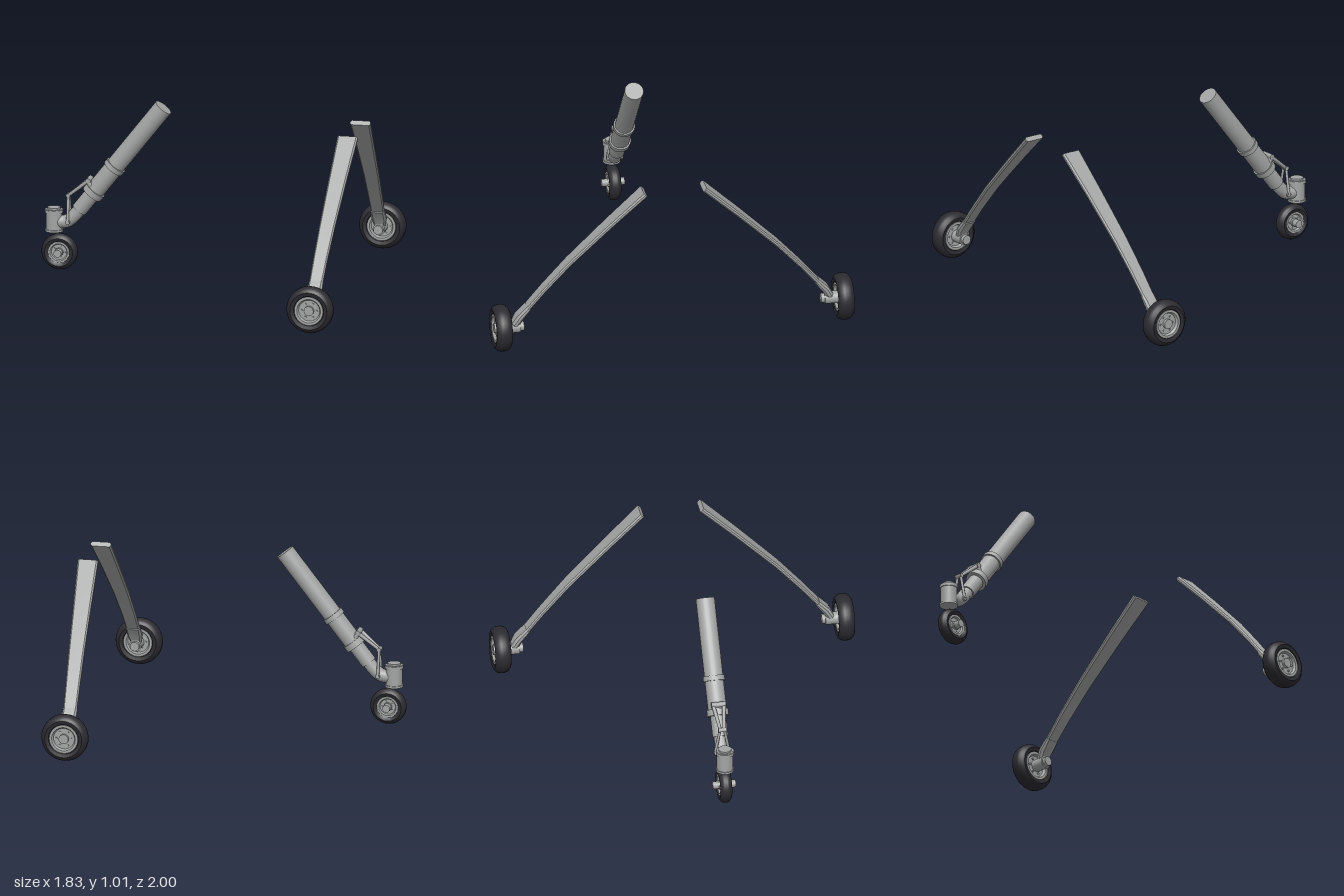
import * as THREE from 'three';
import { toCreasedNormals } from 'three/addons/utils/BufferGeometryUtils.js';

const metal = new THREE.MeshStandardMaterial({ color: 0xa3a5a4 });
metal.name = 'grey metal';
const rubber = new THREE.MeshStandardMaterial({ color: 0x2b2b31 });
rubber.name = 'black rubber';

const V = (x, y, z = 0) => new THREE.Vector3(x, y, z);
const UP = V(0, 1, 0);

function add(parent, name, geometry, material = metal) {
  const mesh = new THREE.Mesh(geometry, material);
  mesh.name = name;
  parent.add(mesh);
  return mesh;
}

// Round bar from a to b
function bar(parent, name, a, b, ra, rb = ra, sides = 24) {
  const mesh = add(parent, name, new THREE.CylinderGeometry(rb, ra, a.distanceTo(b), sides));
  mesh.position.copy(a).lerp(b, 0.5);
  mesh.quaternion.setFromUnitVectors(UP, b.clone().sub(a).normalize());
  return mesh;
}

// Wheel with its axle along z
function wheel(name, R, rim, hub, width, bolts) {
  const g = new THREE.Group();
  g.name = name;
  const h = width / 2;
  const lathe = (pts) => toCreasedNormals(
    new THREE.LatheGeometry(pts.map(([r, y]) => new THREE.Vector2(r, y)), 40).rotateX(Math.PI / 2), 0.6);
  const m = (R + rim) / 2;
  add(g, 'tyre', lathe([
    [rim, -h * 0.7], [rim + 0.006, -h * 0.88], [m, -h], [R - 0.016, -h * 0.88], [R - 0.005, -h * 0.62],
    [R, -h * 0.25], [R, h * 0.25],
    [R - 0.005, h * 0.62], [R - 0.016, h * 0.88], [m, h], [rim + 0.006, h * 0.88], [rim, h * 0.7],
  ]), rubber);
  add(g, 'rim', lathe([
    [0, -h * 0.55], [rim * 0.75, -h * 0.55], [rim * 0.85, -h * 0.86], [rim + 0.002, -h * 0.86],
    [rim + 0.002, h * 0.86], [rim * 0.85, h * 0.86], [rim * 0.75, h * 0.55], [0, h * 0.55],
  ]));
  bar(g, 'hub', V(0, 0, -h * 0.9), V(0, 0, h * 0.9), hub);
  for (let i = 0; i < bolts; i++) {
    const a = (i / bolts) * Math.PI * 2;
    const x = Math.cos(a) * rim * 0.55, y = Math.sin(a) * rim * 0.55;
    bar(g, 'wheelBolt', V(x, y, -h * 0.68), V(x, y, h * 0.68), rim * 0.08, rim * 0.08, 8);
  }
  return g;
}

// Flat bar with chamfered edges; each section is [z, y, xMin, xMax, thickness]
function blade(sections, side) {
  const pos = [], idx = [], n = 8;
  sections.forEach(([z, y, x0, x1, t], j) => {
    const p = sections[Math.max(j - 1, 0)], q = sections[Math.min(j + 1, sections.length - 1)];
    const len = Math.hypot(q[0] - p[0], q[1] - p[1]);
    const ny = -(q[0] - p[0]) / len, nz = (q[1] - p[1]) / len;
    const c = t * 0.3, w = (x1 - x0) / 2, k = t / 2;
    [[w, -k + c], [w, k - c], [w - c, k], [c - w, k], [-w, k - c], [-w, c - k], [c - w, -k], [w - c, -k]]
      .forEach(([u, v]) => pos.push((x0 + x1) / 2 + u, y + ny * v, side * (z + nz * v)));
  });
  const tri = (a, b, c) => (side > 0 ? idx.push(a, c, b) : idx.push(a, b, c));
  const last = (sections.length - 1) * n;
  for (let j = 0; j < last; j += n) {
    for (let i = 0; i < n; i++) {
      const k = (i + 1) % n;
      tri(j + i, j + k, j + n + k);
      tri(j + i, j + n + k, j + n + i);
    }
  }
  for (let i = 1; i < n - 1; i++) {
    tri(0, i + 1, i);
    tri(last, last + i, last + i + 1);
  }
  const g = new THREE.BufferGeometry();
  g.setAttribute('position', new THREE.Float32BufferAttribute(pos, 3));
  g.setIndex(idx);
  return toCreasedNormals(g, 0.4);
}

// Main gear: bowed spring leg, ankle, axle and wheel
function mainGear(side) {
  const g = new THREE.Group();
  g.name = side > 0 ? 'frontMainGear' : 'backMainGear';
  add(g, 'springLeg', blade([
    [0.845, 0.205, 0.748, 0.822, 0.022],
    [0.72, 0.355, 0.752, 0.832, 0.023],
    [0.58, 0.51, 0.757, 0.845, 0.024],
    [0.36, 0.725, 0.764, 0.865, 0.026],
    [0.165, 0.908, 0.77, 0.884, 0.028],
  ], side));
  add(g, 'ankle', blade([
    [0.885, 0.14, 0.755, 0.812, 0.04],
    [0.855, 0.195, 0.745, 0.828, 0.04],
    [0.805, 0.25, 0.747, 0.826, 0.03],
  ], side));
  const x = 0.784, y = 0.132;
  bar(g, 'axle', V(x, y, side * 0.83), V(x, y, side * 0.95), 0.026);
  bar(g, 'axleCollar', V(x, y, side * 0.85), V(x, y, side * 0.925), 0.034);
  const w = wheel('mainWheel', 0.13, 0.078, 0.027, 0.09, 6);
  w.position.set(x, y, side * 0.955);
  g.add(w);
  return g;
}

// Nose gear: sloping strut, swivel housing, links and wheel
function noseGear() {
  const g = new THREE.Group();
  g.name = 'noseGear';
  const top = V(-0.24, 0.98), dir = V(-0.615, -0.788).normalize();
  const at = (d) => top.clone().addScaledVector(dir, d);
  bar(g, 'upperStrut', at(0), at(0.645), 0.052);
  bar(g, 'upperCollar', at(0.43), at(0.458), 0.06);
  bar(g, 'lowerCollar', at(0.615), at(0.65), 0.06);
  bar(g, 'lowerStrut', at(0.64), at(0.765), 0.043);
  bar(g, 'strutFoot', at(0.74), at(0.80), 0.036);
  add(g, 'elbow', new THREE.TubeGeometry(new THREE.CatmullRomCurve3(
    [at(0.79), V(-0.752, 0.33), V(-0.78, 0.31), V(-0.84, 0.305)]), 16, 0.036, 20));

  // Swivel housing with its caps
  const hx = -0.852;
  bar(g, 'swivelHousing', V(hx, 0.25), V(hx, 0.375), 0.045);
  bar(g, 'housingBase', V(hx, 0.25), V(hx, 0.262), 0.05);
  bar(g, 'housingRim', V(hx, 0.355), V(hx, 0.373), 0.05);
  bar(g, 'housingCap', V(hx, 0.37), V(hx, 0.385), 0.036);

  // Forked torque links, one pair on each side
  const knee = V(-0.77, 0.457);
  bar(g, 'kneePin', V(knee.x, knee.y, -0.022), V(knee.x, knee.y, 0.022), 0.012, 0.012, 12);
  bar(g, 'upperPin', V(-0.655, 0.55, -0.04), V(-0.655, 0.55, 0.04), 0.015, 0.015, 12);
  bar(g, 'lowerPin', V(-0.768, 0.312, -0.045), V(-0.768, 0.312, 0.045), 0.013, 0.013, 12);
  for (const s of [-1, 1]) {
    bar(g, 'upperLink', V(knee.x, knee.y, s * 0.01), V(-0.655, 0.55, s * 0.03), 0.009, 0.011, 10);
    bar(g, 'lowerLink', V(knee.x, knee.y, s * 0.012), V(-0.768, 0.312, s * 0.04), 0.008, 0.008, 10);
    bar(g, 'linkLug', V(-0.655, 0.55, s * 0.026), V(-0.625, 0.49, s * 0.026), 0.013, 0.018, 10);
  }

  const x = -0.82, y = 0.137;
  bar(g, 'noseAxle', V(x, y, -0.064), V(x, y, 0.064), 0.021);
  const w = wheel('noseWheel', 0.1, 0.057, 0.024, 0.066, 5);
  w.position.set(x, y, 0);
  g.add(w);
  return g;
}

export function createModel() {
  const model = new THREE.Group();
  model.name = 'landingGear';
  model.add(noseGear(), mainGear(1), mainGear(-1));
  return model;
}
